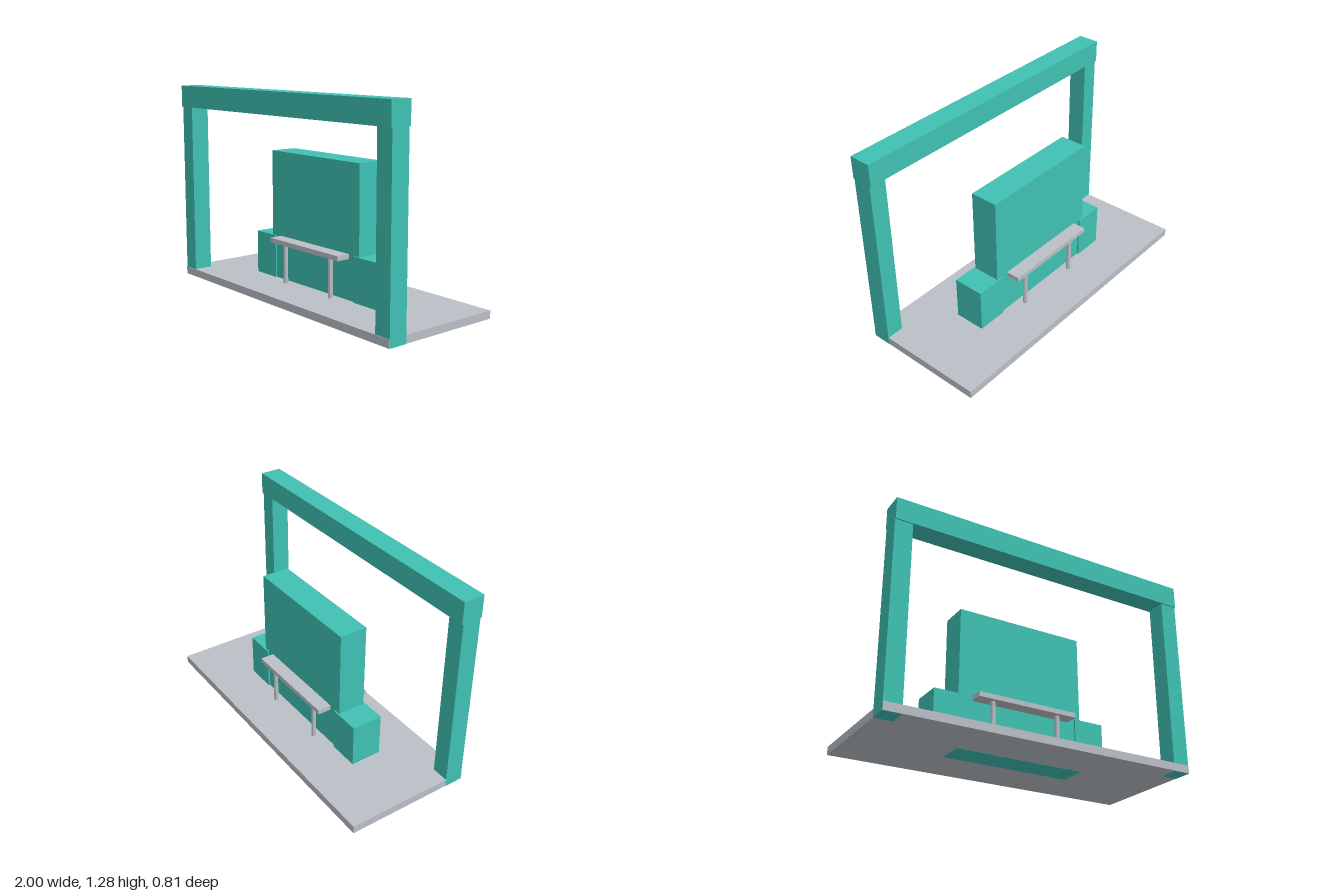
import * as THREE from 'three';

export function createModel() {
  const model = new THREE.Group();
  model.name = 'shelterFrame';
  const teal = new THREE.MeshStandardMaterial({ name: 'teal', color: 0x40c1b3 });
  const grey = new THREE.MeshStandardMaterial({ name: 'paleGrey', color: 0xbbc0c7 });
  const midZ = -0.0025; // centre line of the platform, wall and bench

  // Box given by its extents on each axis
  function box(name, material, [x0, x1], [y0, y1], [z0, z1]) {
    const mesh = new THREE.Mesh(new THREE.BoxGeometry(x1 - x0, y1 - y0, z1 - z0), material);
    mesh.position.set((x0 + x1) / 2, (y0 + y1) / 2, (z0 + z1) / 2);
    mesh.name = name;
    model.add(mesh);
  }
  const around = (half) => [midZ - half, midZ + half];

  // Platform, a hair inside the posts and wall that pass through it
  box('platform', grey, [-0.999, 0.999], [0.001, 0.05], around(0.4));

  // Central wall and the bench board running through it
  box('wall', teal, [-0.42, 0.42], [0, 0.88], around(0.09));
  box('benchBoard', grey, [-0.33, 0.33], [0.302, 0.332], around(0.179));

  // Crossbeam on top of the gateway
  box('crossbeam', teal, [-1, 1], [1.143, 1.283], [0.2645, 0.4025]);

  for (const side of [-1, 1]) {
    const label = side > 0 ? 'left' : 'right';
    const span = (a, b) => (side > 0 ? [a, b] : [-b, -a]);
    box(label + 'Post', teal, span(0.89, 1), [0, 1.143], [0.274, 0.394]);
    box(label + 'Block', teal, span(0.38, 0.58), [0.03, 0.328], around(0.1));

    // Slim bench legs in front of and behind the wall
    for (const end of [-1, 1]) {
      const geometry = new THREE.CylinderGeometry(0.015, 0.015, 0.265, 8).toNonIndexed();
      geometry.computeVertexNormals();
      const leg = new THREE.Mesh(geometry, grey);
      leg.position.set(side * 0.22, 0.1725, midZ + end * 0.14);
      leg.name = label + (end > 0 ? 'Front' : 'Back') + 'BenchLeg';
      model.add(leg);
    }
  }
  return model;
}
